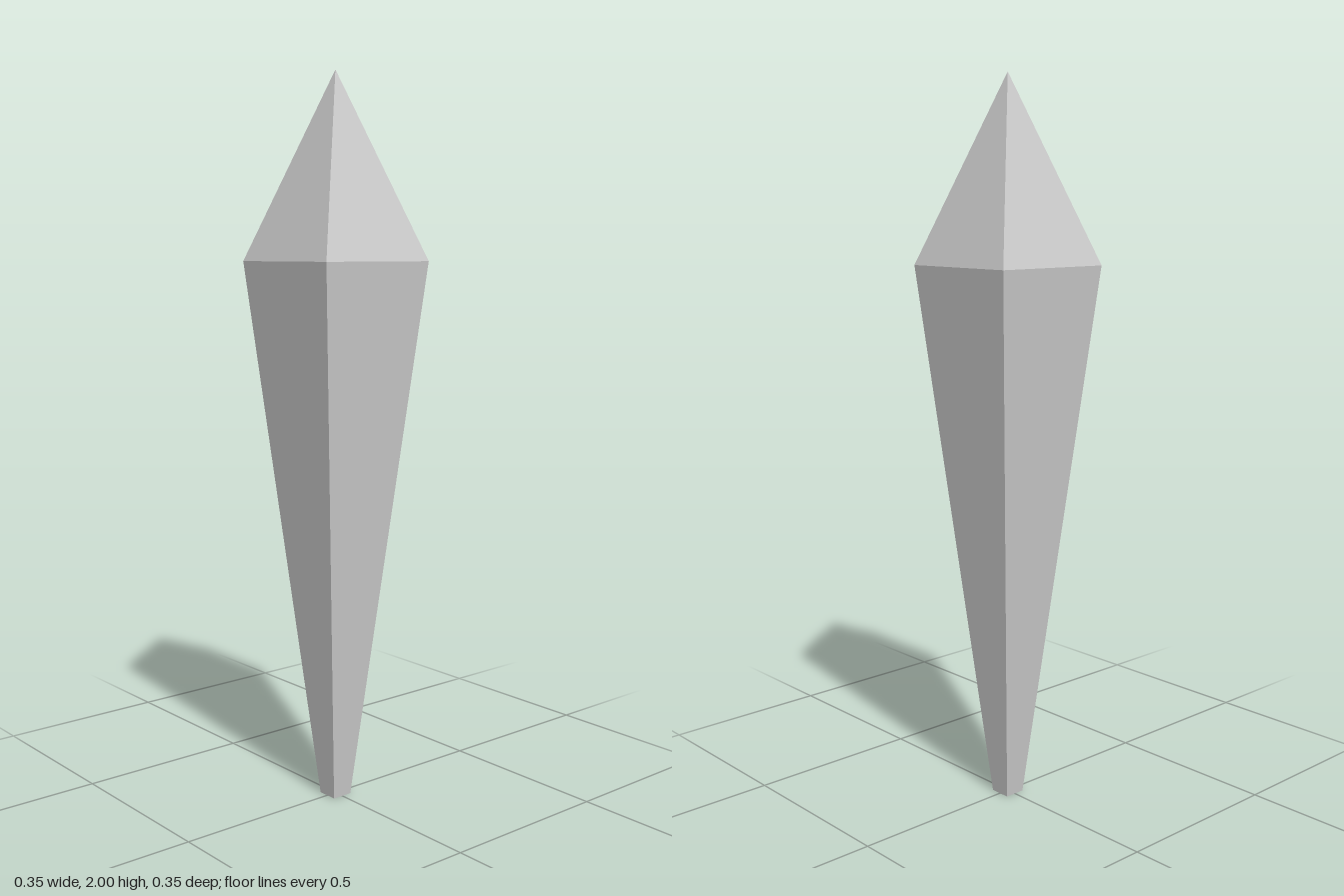
import * as THREE from 'three';

const SHOULDER_Y = 1.5, HEIGHT = 2;
const SHOULDER = 0.177, FOOT = 0.03; // half widths of the square sections

// Square frustum from y0 to y1 with sides facing the axes
function squareFrustum(name, topHalf, bottomHalf, y0, y1, material) {
  const h = y1 - y0;
  const geometry = new THREE.CylinderGeometry(
    topHalf * Math.SQRT2, bottomHalf * Math.SQRT2, h, 4, 1, true, Math.PI / 4);
  geometry.translate(0, y0 + h / 2, 0);
  const mesh = new THREE.Mesh(geometry, material);
  mesh.name = name;
  return mesh;
}

export function createModel() {
  const group = new THREE.Group();
  group.name = 'crystalSpike';
  const material = new THREE.MeshStandardMaterial({ color: 0xcccccc, flatShading: true });

  // Long tapering shaft and the pyramid point above it
  group.add(squareFrustum('shaft', SHOULDER, FOOT, 0, SHOULDER_Y, material));
  group.add(squareFrustum('point', 0, SHOULDER, SHOULDER_Y, HEIGHT, material));

  // Small square that closes the foot
  const foot = new THREE.Mesh(
    new THREE.PlaneGeometry(FOOT * 2, FOOT * 2).rotateX(Math.PI / 2), material);
  foot.name = 'foot';
  group.add(foot);

  return group;
}
